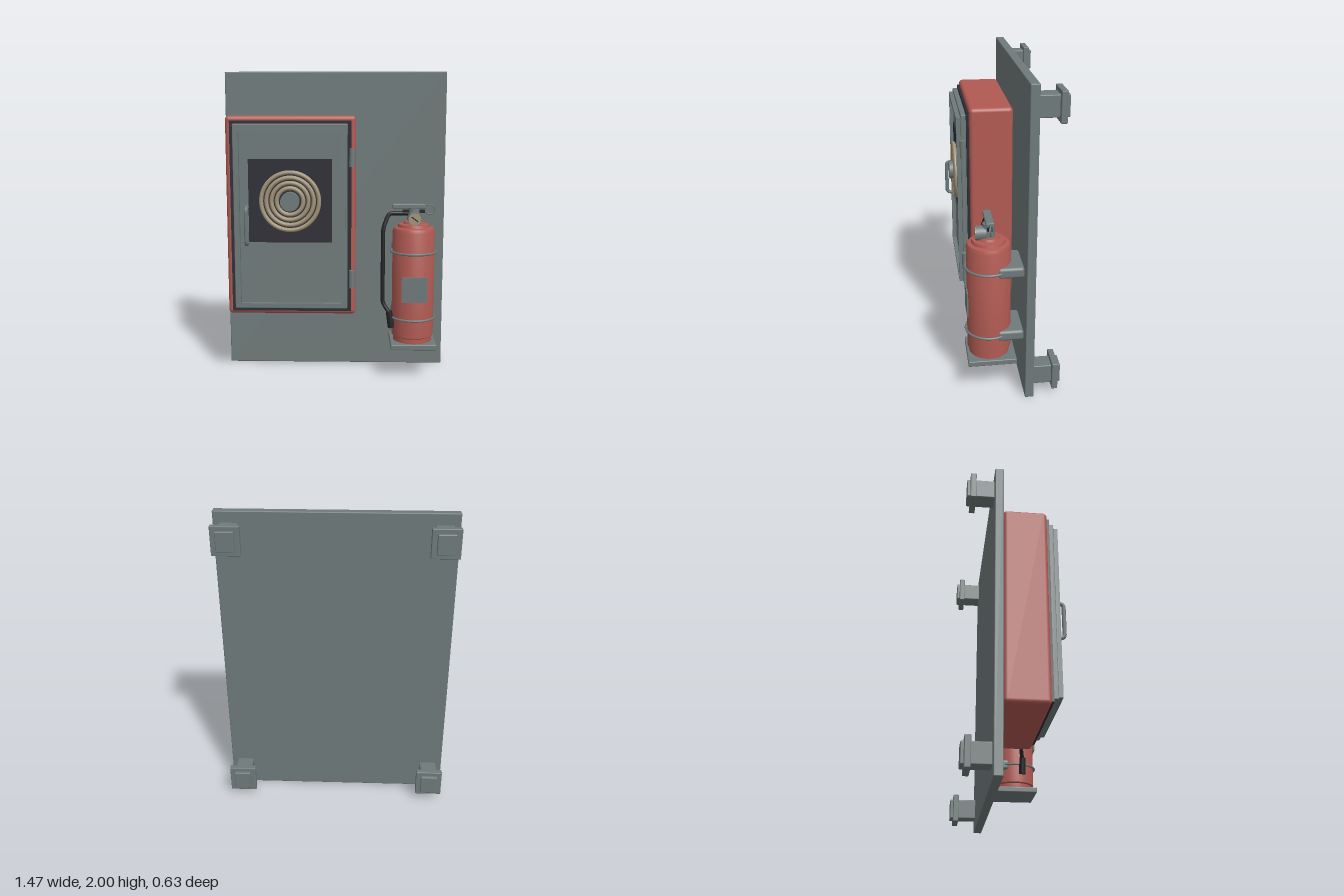
import * as THREE from 'three';
import { RoundedBoxGeometry } from 'three/addons/geometries/RoundedBoxGeometry.js';
import { toCreasedNormals } from 'three/addons/utils/BufferGeometryUtils.js';

const paint = (name, color) => {
  const m = new THREE.MeshStandardMaterial({ color });
  m.name = name;
  return m;
};

export function createModel() {
  const root = new THREE.Group();
  root.name = 'fireStation';
  const steel = paint('steelGrey', 0x6f7a7a);
  const red = paint('safetyRed', 0xb05a52);
  const dark = paint('darkRubber', 0x2c2c35);
  const black = paint('blackHose', 0x222327);
  const canvas = paint('canvasBeige', 0xa3947a);

  const group = (name) => {
    const g = new THREE.Group();
    g.name = name;
    root.add(g);
    return g;
  };
  const add = (parent, name, geo, mat, x = 0, y = 0, z = 0) => {
    const m = new THREE.Mesh(geo, mat);
    m.name = name;
    m.position.set(x, y, z);
    parent.add(m);
    return m;
  };
  // Box given by its extents; r rounds the edges
  const box = (parent, name, mat, x0, x1, y0, y1, z0, z1, r = 0) => {
    const s = [x1 - x0, y1 - y0, z1 - z0];
    const geo = r ? new RoundedBoxGeometry(...s, 3, r) : new THREE.BoxGeometry(...s);
    return add(parent, name, geo, mat, (x0 + x1) / 2, (y0 + y1) / 2, (z0 + z1) / 2);
  };
  const disc = (parent, name, mat, r, x, y, z0, z1) => {
    const geo = new THREE.CylinderGeometry(r, r, z1 - z0, 32).rotateX(Math.PI / 2);
    return add(parent, name, geo, mat, x, y, (z0 + z1) / 2);
  };
  const path = (pts) => {
    const c = new THREE.CurvePath();
    const v = pts.map((p) => new THREE.Vector3(...p));
    let last = v[0];
    // Straight runs joined by short rounded bends
    for (let i = 1; i < v.length - 1; i++) {
      const a = v[i].clone().lerp(v[i - 1], Math.min(0.4, 0.03 / v[i].distanceTo(v[i - 1])));
      const b = v[i].clone().lerp(v[i + 1], Math.min(0.4, 0.03 / v[i].distanceTo(v[i + 1])));
      c.add(new THREE.LineCurve3(last, a));
      c.add(new THREE.QuadraticBezierCurve3(a, v[i], b));
      last = b;
    }
    c.add(new THREE.LineCurve3(last, v[v.length - 1]));
    return c;
  };

  // Backing panel and its four wall mounts
  box(root, 'backPanel', steel, -0.735, 0.735, 0, 2, -0.142, -0.087, 0.006);
  for (const x of [-0.64, 0.64]) {
    for (const y of [0.135, 1.865]) {
      const mount = group('wallMount');
      box(mount, 'mountBlock', steel, x - 0.055, x + 0.055, y - 0.064, y + 0.064, -0.315, -0.14, 0.006);
      box(mount, 'mountFlange', steel, x - 0.087, x + 0.087, y - 0.091, y + 0.091, -0.295, -0.258, 0.005);
    }
  }

  // Hose cabinet with gasket and framed door
  const cabinet = group('hoseCabinet');
  box(cabinet, 'cabinetBody', red, -0.695, 0.137, 0.427, 1.715, -0.087, 0.188, 0.025);
  box(cabinet, 'gasket', dark, -0.664, 0.108, 0.453, 1.685, 0.18, 0.204);
  box(cabinet, 'door', steel, -0.641, 0.084, 0.478, 1.664, 0.2, 0.236, 0.005);
  const rim = new THREE.Shape([[-0.627, 0.495], [0.07, 0.495], [0.07, 1.642], [-0.627, 1.642]]
    .map((p) => new THREE.Vector2(...p)));
  rim.holes.push(new THREE.Path([[-0.6, 0.518], [-0.6, 1.618], [0.045, 1.618], [0.045, 0.518]]
    .map((p) => new THREE.Vector2(...p))));
  add(cabinet, 'doorRim', new THREE.ExtrudeGeometry(rim, { depth: 0.03, bevelEnabled: false }), steel, 0, 0, 0.234);

  // Window with the coiled hose behind it
  const cx = -0.278, cy = 1.18;
  box(cabinet, 'windowPlate', dark, cx - 0.265, cx + 0.265, cy - 0.265, cy + 0.265, 0.236, 0.245);
  for (const r of [0.183, 0.15, 0.117, 0.084]) {
    add(cabinet, 'hoseCoil', new THREE.TorusGeometry(r, 0.0135, 10, 56), canvas, cx, cy, 0.26);
  }
  disc(cabinet, 'reelHub', steel, 0.06, cx, cy, 0.24, 0.296);

  // Door pull and hinges
  const pull = path([[-0.553, 1.142, 0.235], [-0.553, 1.142, 0.299], [-0.553, 0.908, 0.299], [-0.553, 0.908, 0.235]]);
  add(cabinet, 'doorHandle', new THREE.TubeGeometry(pull, 60, 0.013, 10), steel);
  for (const y of [0.672, 1.452]) {
    add(cabinet, 'hinge', new THREE.CylinderGeometry(0.019, 0.019, 0.114, 20), steel, 0.113, y, 0.228);
  }

  // Extinguisher bottle, centred on its own axis
  const ex = 0.515, ez = 0.115;
  const bottle = group('extinguisher');
  const profile = [[0, 0.244], [0.127, 0.244], [0.127, 0.275], [0.137, 0.282], [0.137, 0.972], [0.128, 0.994],
    [0.105, 1.0], [0.1, 1.018], [0.068, 1.022], [0.062, 1.036], [0, 1.036]].map((p) => new THREE.Vector2(...p));
  add(bottle, 'bottleBody', toCreasedNormals(new THREE.LatheGeometry(profile, 40), 0.5), red, ex, 0, ez);
  box(bottle, 'bottleLabel', steel, 0.432, 0.597, 0.524, 0.69, 0.249, 0.257);

  // Valve, lever, gauge and safety pin
  add(bottle, 'valveNeck', new THREE.CylinderGeometry(0.036, 0.04, 0.09, 24), steel, ex, 1.075, ez);
  box(bottle, 'topLever', steel, 0.376, 0.588, 1.12, 1.147, 0.087, 0.136, 0.005);
  box(bottle, 'lowerLever', black, 0.44, 0.585, 1.092, 1.108, 0.097, 0.127);
  disc(bottle, 'gauge', steel, 0.045, ex, 1.058, 0.13, 0.193);
  disc(bottle, 'gaugeFace', canvas, 0.04, ex, 1.058, 0.19, 0.197);
  box(bottle, 'gaugeNeedle', black, ex - 0.026, ex + 0.026, 1.0545, 1.0615, 0.196, 0.2).rotation.z = -0.65;
  add(bottle, 'pinRing', new THREE.TorusGeometry(0.032, 0.004, 8, 32), steel, 0.617, 1.113, ez);

  // Discharge hose and nozzle
  const hose = path([[0.5, 1.086, 0.112], [0.352, 1.086, 0.112], [0.315, 0.99, 0.135],
    [0.315, 0.495, 0.145], [0.362, 0.43, 0.16]]);
  add(bottle, 'dischargeHose', new THREE.TubeGeometry(hose, 100, 0.0135, 10), black);
  add(bottle, 'nozzle', new THREE.CylinderGeometry(0.024, 0.02, 0.11, 16), black, 0.366, 0.388, 0.16).rotation.z = Math.PI + 0.17;

  // Support shelf, bracket arms and straps
  const holder = group('bottleHolder');
  box(holder, 'shelf', steel, 0.367, 0.664, 0.208, 0.244, -0.045, 0.259, 0.006);
  for (const y of [0.402, 0.838]) {
    box(holder, 'bracketArm', steel, 0.382, 0.648, y - 0.035, y + 0.035, -0.09, 0.075, 0.02);
    add(holder, 'strap', new THREE.TorusGeometry(0.145, 0.008, 8, 48).rotateX(Math.PI / 2), steel, ex, y, ez);
  }
  return root;
}
